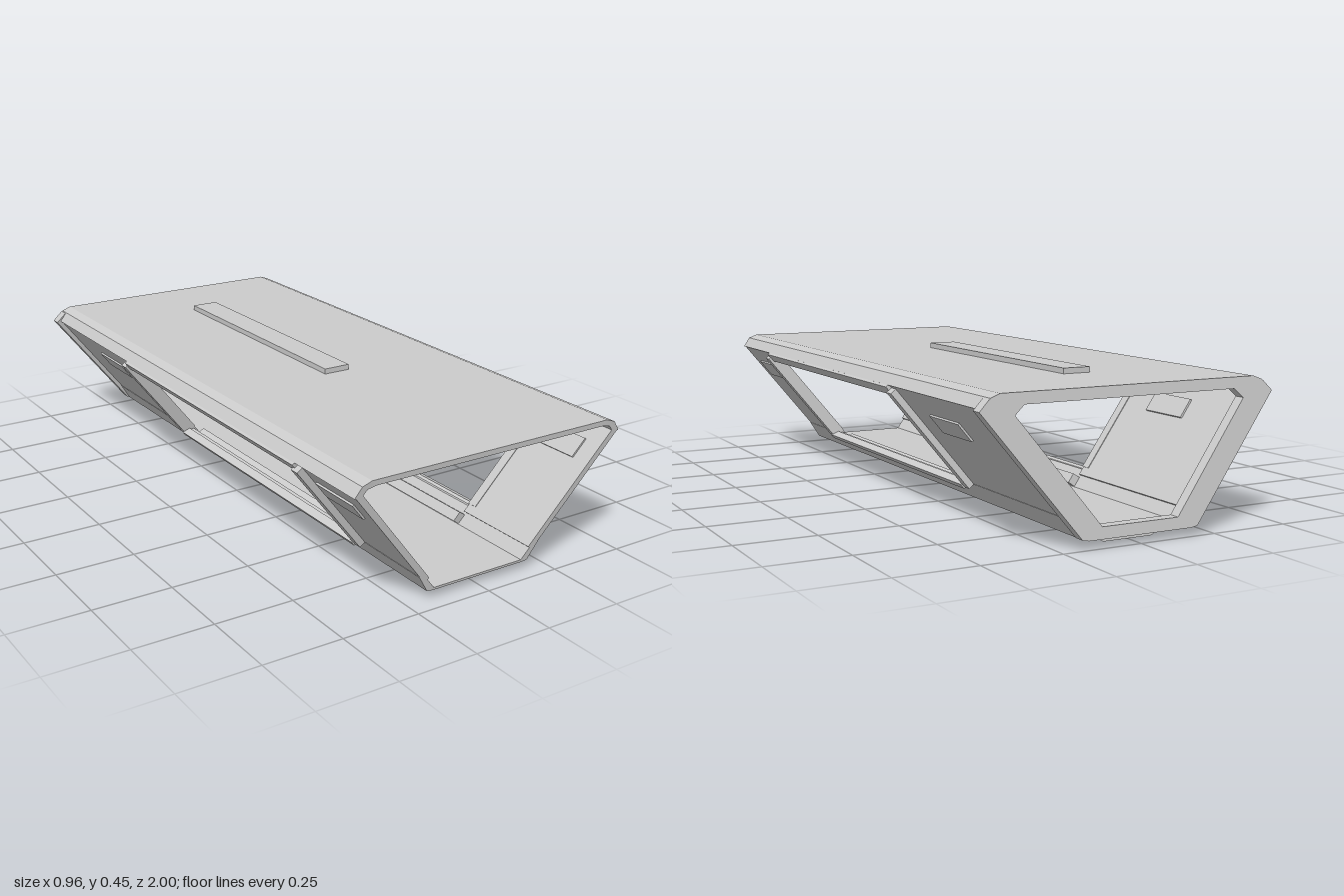
import * as THREE from 'three';

const SLANT = 0.125; // every part leans forward with height

export function createModel() {
  const model = new THREE.Group();
  const material = new THREE.MeshStandardMaterial({ color: 0xcccccc, flatShading: true, side: THREE.DoubleSide });

  // Prism with an x-y section, running from z0 to z1 at floor level, sheared with height
  function prism(name, points, z0, z1, hole) {
    const shape = new THREE.Shape(points.map(([x, y]) => new THREE.Vector2(x, y)));
    if (hole) shape.holes.push(new THREE.Path(hole.map(([x, y]) => new THREE.Vector2(x, y))));
    const geometry = new THREE.ExtrudeGeometry(shape, { depth: z1 - z0, bevelEnabled: false });
    geometry.translate(0, 0, z0);
    const p = geometry.attributes.position;
    for (let i = 0; i < p.count; i++) {
      p.setZ(i, Math.min(1, p.getZ(i) + SLANT * (p.getY(i) - 0.03)));
    }
    geometry.computeVertexNormals();
    const mesh = new THREE.Mesh(geometry, material);
    mesh.name = name;
    model.add(mesh);
  }

  // Closed symmetrical outline from its +x half
  const symmetric = (half) => [...half, ...half.map(([x, y]) => [-x, y]).reverse()];

  // Section of a slab lying along the side wall: y range and offsets outward from the wall
  const wallX = (y) => 0.205 + (y - 0.07) * 0.797;
  const slab = (y0, y1, inner, outer) => {
    const n = [0.782, -0.623];
    const at = (y, d) => [wallX(y) + n[0] * d, y + n[1] * d];
    return [at(y0, inner), at(y0, outer), at(y1, outer), at(y1, inner)];
  };

  // Roof and floor
  prism('roof', symmetric([[0.41, 0.418], [0.41, 0.435]]), -1, 0.95);
  prism('floor', symmetric([[0.165, 0.026], [0.165, 0.034]]), -1, 0.95);

  // Raised bar along the roof
  const bar = new THREE.Mesh(new THREE.BoxGeometry(0.09, 0.036, 0.88), material);
  bar.name = 'roofBar';
  bar.position.set(0, 0.434, -0.22);
  model.add(bar);

  // Rear ring frame
  prism('rearFrame',
    symmetric([[0.17, 0.026], [0.19, 0.03], [0.48, 0.39], [0.45, 0.42], [0.41, 0.435]]),
    -1, -0.965,
    symmetric([[0.125, 0.06], [0.375, 0.375], [0.345, 0.402]]));

  // Small lip under the rear of the floor
  prism('rearLip', symmetric([[0.08, 0], [0.13, 0.026]]), -0.93, -0.922);

  for (const side of [1, -1]) {
    const prefix = side > 0 ? 'left' : 'right';
    const add = (name, pts, z0, z1) => prism(prefix + name, pts.map(([x, y]) => [side * x, y]), z0, z1);

    // Bevelled rails along roof and floor edges
    add('RoofRail', [[0.40, 0.435], [0.415, 0.435], [0.445, 0.424], [0.467, 0.393],
      [0.45, 0.385], [0.428, 0.412], [0.40, 0.418]], -1, 0.95);
    add('FloorRail', [[0.16, 0.026], [0.183, 0.028], [0.217, 0.083], [0.2, 0.085], [0.16, 0.034]], -1, 0.95);

    // Slanted wall panels either side of the opening
    add('FrontPanel', slab(0.06, 0.395, -0.02, 0), 0.655, 0.95);
    add('RearPanel', slab(0.06, 0.395, -0.02, 0), -1, -0.4);

    // Opening frame: jambs, sill and inner step
    add('FrontJamb', slab(0.082, 0.384, -0.022, 0.021), 0.652, 0.685);
    add('RearJamb', slab(0.082, 0.384, -0.022, 0.021), -0.43, -0.397);
    add('Sill', [[0.2, 0.075], [0.234, 0.065], [0.245, 0.079], [0.218, 0.09]], -0.4, 0.66);
    add('InnerStep', [[0.165, 0.032], [0.14, 0.05], [0.16, 0.076], [0.185, 0.06]], -0.4, 0.66);
    add('Header', slab(0.37, 0.395, -0.02, 0.012), -0.4, 0.66);

    // Small plates set through the panels
    add('FrontPlate', slab(0.29, 0.342, -0.026, 0.006), 0.71, 0.89);
    add('RearPlate', slab(0.27, 0.322, -0.026, 0.006), -0.735, -0.555);
  }

  return model;
}
